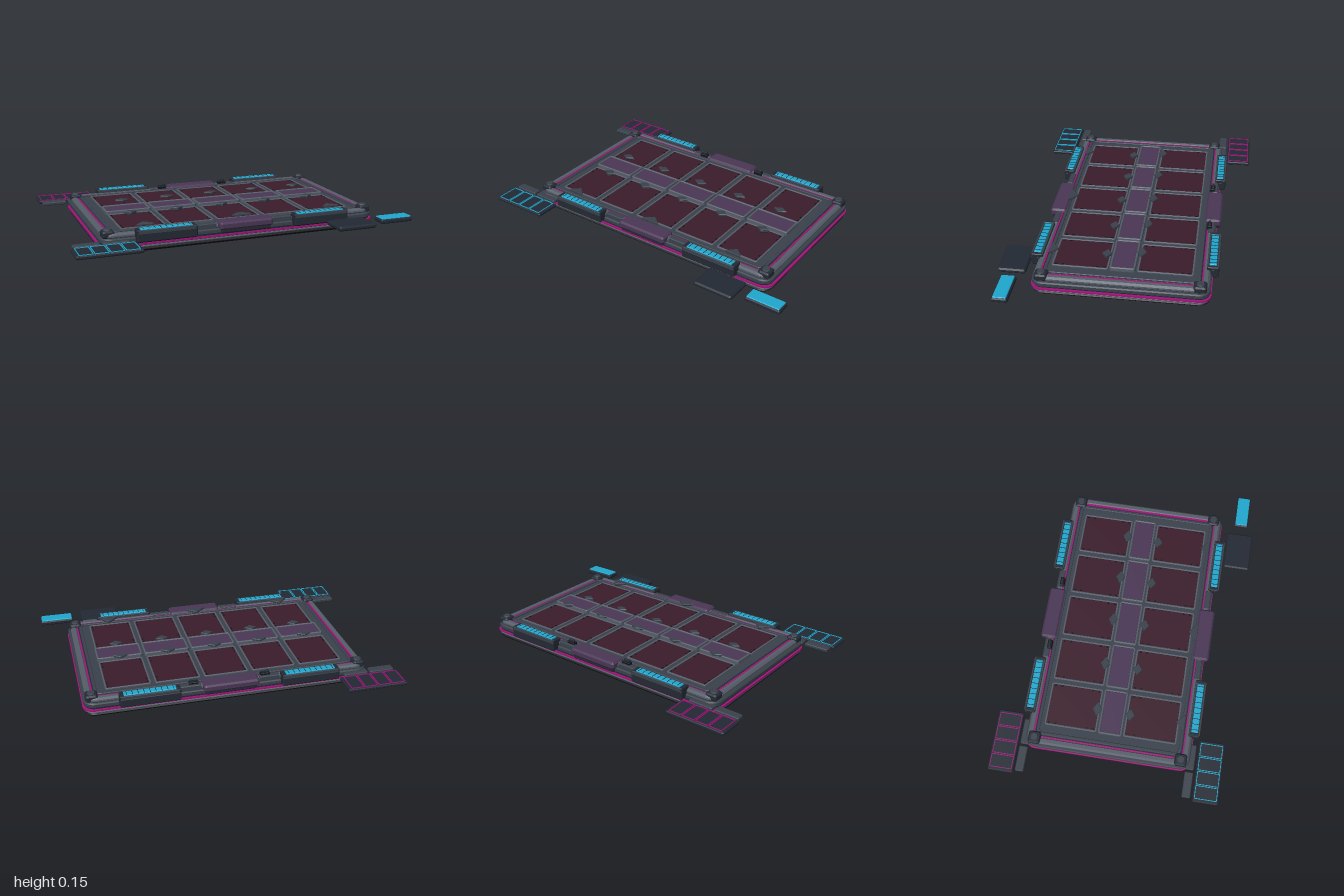
import * as THREE from 'three';

const paint = (color) => new THREE.MeshStandardMaterial({ color });
const BLACK = paint(0x12141a), DARK = paint(0x232934), GREY = paint(0x3a414b), STEEL = paint(0x555d68);
const MAROON = paint(0x3b1c2b), PURPLE = paint(0x4a3655), CYAN = paint(0x1fa8cf), MAGENTA = paint(0xa3127a);

// rounded rectangle outline, centred on the origin
function roundRect(w, d, r, Type = THREE.Shape) {
  const s = new Type(), x = w / 2, y = d / 2, H = Math.PI / 2;
  s.moveTo(-x + r, -y);
  s.lineTo(x - r, -y);
  s.absarc(x - r, -y + r, r, -H, 0, false);
  s.absarc(x - r, y - r, r, 0, H, false);
  s.absarc(-x + r, y - r, r, H, 2 * H, false);
  s.absarc(-x + r, -y + r, r, 2 * H, 3 * H, false);
  return s;
}

// extrude an outline upward from y0 to y1 with chamfered rims
function raise(shape, y0, y1, bevel) {
  const g = new THREE.ExtrudeGeometry(shape, {
    depth: y1 - y0 - 2 * bevel, bevelEnabled: bevel > 0, bevelSize: bevel,
    bevelOffset: -bevel, bevelThickness: bevel, bevelSegments: 1, curveSegments: 5,
  });
  return g.rotateX(-Math.PI / 2).translate(0, y0 + bevel, 0);
}

function add(parent, name, geo, mat, x = 0, z = 0) {
  const m = new THREE.Mesh(geo, mat);
  m.name = name;
  m.position.set(x, 0, z);
  parent.add(m);
  return m;
}

const slab = (w, d, r, y0, y1, bevel = 0.004) => raise(roundRect(w, d, r), y0, y1, bevel);

function ring(w, d, r, t, y0, y1, bevel = 0) {
  const s = roundRect(w, d, r);
  s.holes.push(roundRect(w - 2 * t, d - 2 * t, Math.max(r - t, 0.002), THREE.Path));
  return raise(s, y0, y1, bevel);
}

function diamond(w, d, y0, y1) {
  const s = new THREE.Shape();
  s.moveTo(w / 2, 0);
  s.lineTo(0, d / 2);
  s.lineTo(-w / 2, 0);
  s.lineTo(0, -d / 2);
  return raise(s, y0, y1, 0.003);
}

// stacked body of the board
function buildBody() {
  const g = new THREE.Group();
  g.name = 'boardBody';
  add(g, 'basePlate', slab(1.65, 0.97, 0.06, 0, 0.026, 0.012), BLACK);
  add(g, 'lowerTrim', slab(1.66, 0.975, 0.06, 0.024, 0.035, 0.003), STEEL);
  add(g, 'sideBand', slab(1.65, 0.965, 0.06, 0.033, 0.06, 0), DARK);
  add(g, 'sideGlow', ring(1.675, 0.985, 0.065, 0.02, 0.04, 0.05), MAGENTA);
  add(g, 'middleSlab', slab(1.665, 0.975, 0.065, 0.056, 0.086, 0.006), GREY);
  add(g, 'rim', ring(1.635, 0.955, 0.06, 0.04, 0.082, 0.112, 0.01), STEEL);
  add(g, 'deck', slab(1.57, 0.9, 0.045, 0.08, 0.1, 0.003), DARK);
  add(g, 'deckGlow', ring(1.565, 0.892, 0.045, 0.01, 0.098, 0.108), MAGENTA);
  add(g, 'deckTop', slab(1.53, 0.86, 0.04, 0.095, 0.107, 0.005), GREY);
  add(g, 'deckLip', ring(1.53, 0.86, 0.04, 0.018, 0.1, 0.114, 0.003), GREY);
  // corner posts with a bolt
  for (const x of [-0.785, 0.785]) for (const z of [-0.432, 0.432]) {
    add(g, 'cornerPost', slab(0.07, 0.072, 0.015, 0.085, 0.125, 0.008), DARK, x, z);
    const bolt = new THREE.CylinderGeometry(0.02, 0.025, 0.01, 8).translate(0, 0.128, 0);
    add(g, 'cornerBolt', bolt, GREY, x, z);
  }
  return g;
}

// framed field with small edge ticks
function buildField(d) {
  const g = new THREE.Group();
  g.name = 'cardField';
  add(g, 'fieldFrame', ring(0.262, d, 0.012, 0.01, 0.1, 0.115, 0.002), STEEL);
  add(g, 'fieldPanel', slab(0.244, d - 0.018, 0.006, 0.1, 0.111, 0.002), MAROON);
  for (const sx of [-1, 1]) for (const k of [-0.42, -0.3, 0.3, 0.42]) {
    add(g, 'edgeTick', new THREE.BoxGeometry(0.007, 0.004, 0.012).translate(0, 0.112, 0), BLACK, sx * 0.113, k * d);
  }
  return g;
}

// five columns: two fields, a middle slot and markers
function buildColumn(i) {
  const g = new THREE.Group();
  g.name = 'column';
  const back = buildField(0.31), front = buildField(0.315);
  back.position.z = -0.235;
  front.position.z = 0.236;
  g.add(back, front);
  add(g, 'slotFrame', ring(0.272, 0.142, 0.014, 0.012, 0.1, 0.13, 0.004), STEEL);
  add(g, 'slotPanel', slab(0.252, 0.12, 0.008, 0.1, 0.124, 0.003), PURPLE);
  add(g, 'backMarker', diamond(0.085, 0.055, 0.141, 0.154), GREY, 0, -0.094);
  add(g, 'frontMarker', diamond(0.075, 0.055, 0.111, 0.13), GREY, 0, 0.102);
  if (i % 2 === 0) {
    const s = new THREE.Shape(), w = i === 0 ? 0.06 : 0.05;
    s.moveTo(-w, -0.022);
    s.lineTo(w, -0.022);
    s.lineTo(w * 0.55, 0.005);
    s.lineTo(0, 0.03);
    s.lineTo(-w * 0.55, 0.005);
    add(g, 'edgePointer', raise(s, 0.126, 0.14, 0.003), GREY, 0, 0.405);
  }
  return g;
}

// light bar on the long edges
function buildLightBar() {
  const g = new THREE.Group();
  g.name = 'lightBar';
  add(g, 'barHousing', slab(0.345, 0.07, 0.01, 0.06, 0.118, 0.008), DARK);
  add(g, 'barLight', slab(0.295, 0.04, 0.004, 0.11, 0.134, 0.003), CYAN);
  for (const s of [-1, 1]) {
    add(g, 'barEnd', slab(0.024, 0.064, 0.006, 0.1, 0.13, 0.004), DARK, s * 0.16);
    add(g, 'barRail', slab(0.33, 0.01, 0.004, 0.11, 0.13, 0.002), GREY, 0, s * 0.028);
  }
  for (let k = -4; k <= 4; k++) {
    add(g, 'barDivider', new THREE.BoxGeometry(0.003, 0.002, 0.04).translate(0, 0.1345, 0), DARK, k * 0.033);
  }
  return g;
}

// loose tray with four outlined cells
function buildTray(glow) {
  const g = new THREE.Group();
  g.name = 'cellTray';
  add(g, 'trayPlate', slab(0.36, 0.15, 0.01, 0.055, 0.075, 0.005), DARK);
  for (let k = 0; k < 4; k++) {
    add(g, 'cellOutline', ring(0.078, 0.132, 0.005, 0.004, 0.073, 0.079), glow, (k - 1.5) * 0.083);
  }
  return g;
}

export function createModel() {
  const model = new THREE.Group();
  model.name = 'gameBoard';
  const board = new THREE.Group();
  board.name = 'board';
  board.position.set(0.004, 0, -0.016);
  model.add(board);
  board.add(buildBody());

  for (let i = -2; i <= 2; i++) {
    const c = buildColumn(i);
    c.position.x = i * 0.285;
    board.add(c);
  }

  for (const s of [-1, 1]) {
    for (const x of [-0.469, 0.466]) {
      const bar = buildLightBar();
      bar.position.set(x, 0, s * 0.49);
      board.add(bar);
    }
    // central handle and its side brackets
    add(board, 'handleBase', slab(0.3, 0.08, 0.012, 0.06, 0.1, 0.006), DARK, 0, s * 0.468);
    add(board, 'handle', slab(0.325, 0.096, 0.016, 0.08, 0.124, 0.01), PURPLE, 0, s * 0.468);
    for (const x of [-0.23, 0.23]) {
      add(board, 'handleBracket', slab(0.12, 0.035, 0.005, 0.08, 0.116, 0.004), GREY, x, s * 0.462);
    }
  }
  // clips on the back edge
  for (const x of [-0.21, 0.21]) {
    add(board, 'clip', slab(0.055, 0.028, 0.004, 0.1, 0.128, 0.003), BLACK, x, -0.45);
    add(board, 'clipTab', slab(0.04, 0.012, 0.003, 0.125, 0.142, 0.002), DARK, x, -0.45);
  }

  // loose trays and bars on the right side
  const backTray = buildTray(MAGENTA), frontTray = buildTray(CYAN);
  backTray.position.set(-0.82, 0, -0.615);
  frontTray.position.set(-0.82, 0, 0.588);
  model.add(backTray, frontTray);
  for (const z of [-0.505, 0.475]) for (const x of [-0.91, -0.748]) {
    add(model, 'looseBar', slab(0.148, 0.05, 0.008, 0.057, 0.077, 0.004), GREY, x, z);
  }

  // loose plate and light block in front
  add(model, 'loosePlate', slab(0.24, 0.162, 0.014, 0.055, 0.082, 0.008), DARK, 0.615, 0.6);
  add(model, 'lightBlock', slab(0.21, 0.09, 0.01, 0.06, 0.086, 0.006), DARK, 0.895, 0.597);
  add(model, 'lightFace', slab(0.195, 0.075, 0.006, 0.08, 0.092, 0.003), CYAN, 0.895, 0.597);
  return model;
}
